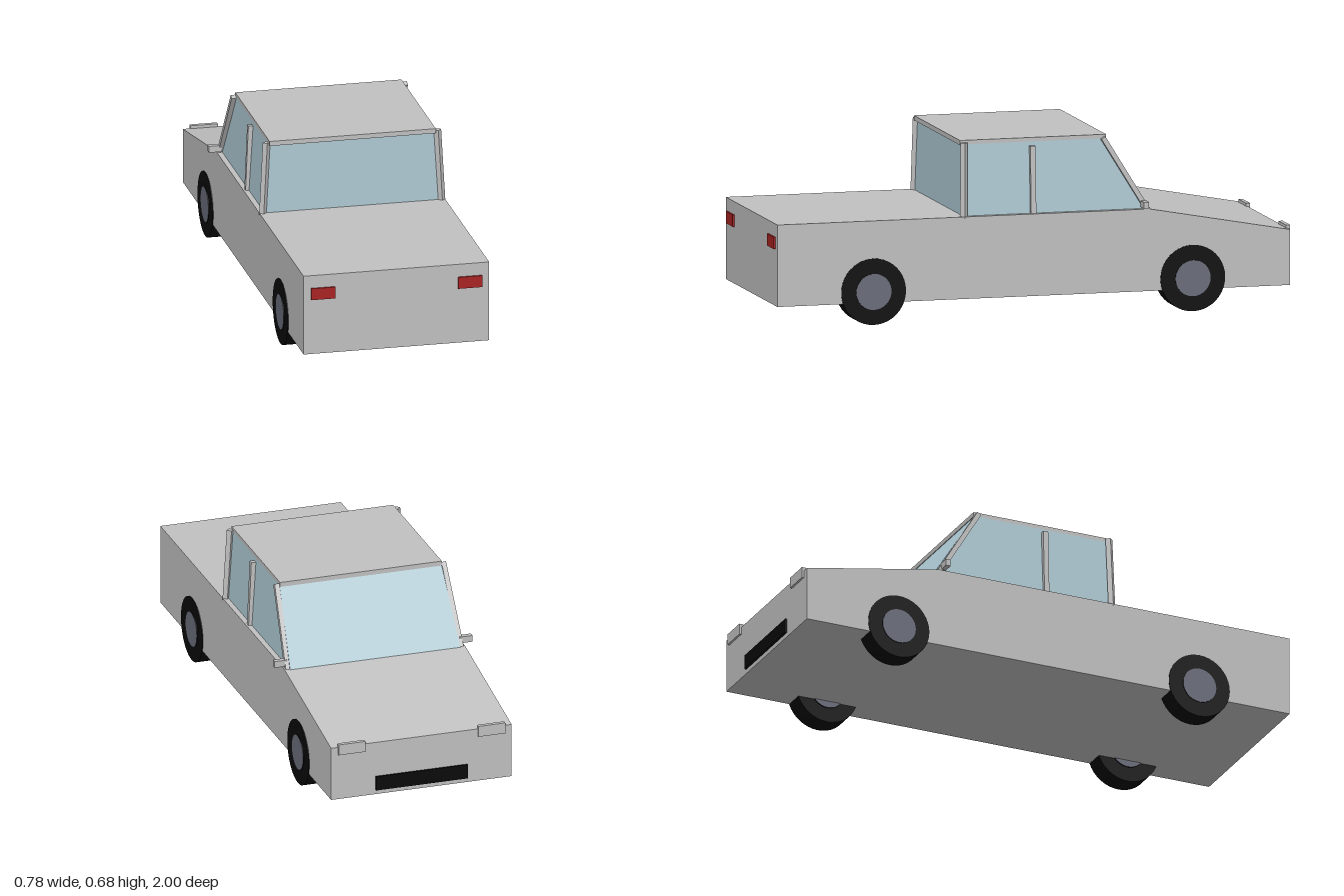
import * as THREE from 'three';

const paint = (name, color) => {
  const m = new THREE.MeshStandardMaterial({ color });
  m.name = name;
  return m;
};

export function createModel() {
  const car = new THREE.Group();
  car.name = 'pickupSedan';
  const body = paint('bodyGrey', 0xc1c1c1);
  const glass = paint('paleBlueGlass', 0xadc8d2);
  const black = paint('black', 0x0a0a0a);
  const hubGrey = paint('hubGrey', 0x6a6d7b);
  const red = paint('lampRed', 0xaa2222);

  const add = (name, geometry, material) => {
    const mesh = new THREE.Mesh(geometry, material);
    mesh.name = name;
    car.add(mesh);
    return mesh;
  };
  const box = (name, material, w, h, d, x, y, z) => {
    const mesh = add(name, new THREE.BoxGeometry(w, h, d), material);
    mesh.position.set(x, y, z);
    return mesh;
  };
  // Side profile of [z, y] points, extruded across the car
  const slab = (name, material, points, halfWidth) => {
    const shape = new THREE.Shape(points.map(([z, y]) => new THREE.Vector2(-z, y)));
    const g = new THREE.ExtrudeGeometry(shape, { depth: halfWidth * 2, bevelEnabled: false });
    g.translate(0, 0, -halfWidth).rotateY(Math.PI / 2);
    return add(name, g, material);
  };
  // Square bar between two points, turned about its own length
  const bar = (name, a, b, size, turn) => {
    const from = new THREE.Vector3(...a), to = new THREE.Vector3(...b);
    const dir = to.clone().sub(from);
    const g = new THREE.BoxGeometry(size, dir.length(), size).rotateY(turn);
    const mesh = add(name, g, body);
    mesh.position.copy(from).add(to).multiplyScalar(0.5);
    mesh.quaternion.setFromUnitVectors(new THREE.Vector3(0, 1, 0), dir.normalize());
  };

  // Lower body with sloping nose
  slab('body', body, [[0.992, 0.083], [0.992, 0.392], [-0.45, 0.392], [-0.992, 0.292], [-0.992, 0.083]], 0.355);

  // Glasshouse, narrowing towards the roof
  const cabin = slab('windows', glass, [[0.268, 0.385], [0.262, 0.66], [-0.285, 0.66], [-0.46, 0.385]], 0.335);
  const p = cabin.geometry.attributes.position;
  for (let i = 0; i < p.count; i++) if (p.getY(i) > 0.5) p.setX(i, Math.sign(p.getX(i)) * 0.318);
  cabin.geometry.computeVertexNormals();

  box('roof', body, 0.636, 0.018, 0.565, 0, 0.666, -0.0075);
  box('grille', black, 0.36, 0.055, 0.009, 0, 0.128, -0.9955);

  for (const s of [1, -1]) {
    const side = s > 0 ? 'left' : 'right';
    // Window pillars
    bar(side + 'RearPillar', [s * 0.342, 0.385, 0.267], [s * 0.327, 0.667, 0.262], 0.02, Math.PI / 4);
    bar(side + 'MiddlePillar', [s * 0.338, 0.385, -0.002], [s * 0.327, 0.645, -0.002], 0.02, 0);
    bar(side + 'FrontPillar', [s * 0.341, 0.385, -0.445], [s * 0.328, 0.664, -0.275], 0.018, 0);
    // Mirrors and lamps
    box(side + 'Mirror', body, 0.05, 0.025, 0.02, s * 0.364, 0.411, -0.427);
    box(side + 'Headlight', body, 0.105, 0.042, 0.016, s * 0.275, 0.284, -0.992);
    box(side + 'TailLight', red, 0.092, 0.045, 0.008, s * 0.281, 0.32, 0.995);
    // Wheels
    for (const [end, z] of [['Front', -0.615], ['Rear', 0.62]]) {
      const tyre = add(side + end + 'Tyre', new THREE.CylinderGeometry(0.125, 0.125, 0.082, 40).rotateZ(Math.PI / 2), black);
      tyre.position.set(s * 0.3165, 0.125, z);
      const hub = add(side + end + 'Hub', new THREE.CylinderGeometry(0.068, 0.068, 0.09, 32).rotateZ(Math.PI / 2), [black, hubGrey, hubGrey]);
      hub.position.set(s * 0.3155, 0.125, z);
    }
  }
  return car;
}
